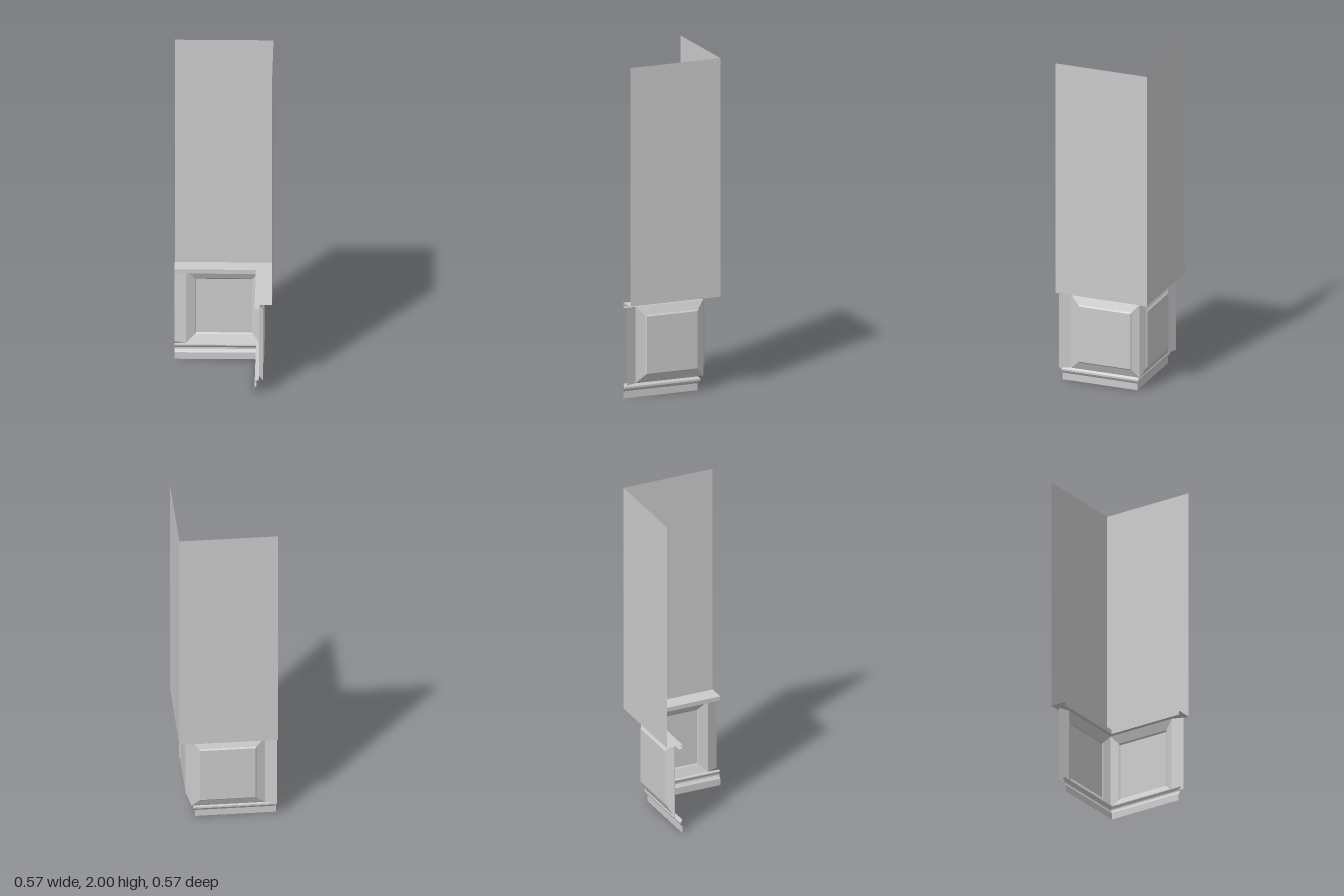
import * as THREE from 'three';

const END = 0.286;                 // outer extent of both wall runs
const TOP = 0.547, BOTTOM = 0.09;  // height range of the panelling
const RIDGE = 0.209;               // distance of the stile ridge from the centre

const material = new THREE.MeshStandardMaterial({
  color: 0xcccccc, flatShading: true, side: THREE.DoubleSide,
});

// Mesh from a list of four-cornered faces, corners anticlockwise from the front
function quadMesh(name, quads) {
  const positions = [];
  for (const [a, b, c, d] of quads) positions.push(...a, ...b, ...c, ...a, ...c, ...d);
  const geometry = new THREE.BufferGeometry();
  geometry.setAttribute('position', new THREE.Float32BufferAttribute(positions, 3));
  geometry.computeVertexNormals();
  const mesh = new THREE.Mesh(geometry, material);
  mesh.name = name;
  return mesh;
}

// Mirror faces of the back run onto the side run, keeping them front-facing
const toSide = (quads) =>
  quads.map((q) => q.map(([x, y, z]) => [-z, y, -x]).reverse());

// Sweep a [depth, height] profile along both runs with a mitred inner corner
function cornerSweep(name, profile) {
  const back = [];
  for (let i = 0; i < profile.length - 1; i++) {
    const [d0, y0] = profile[i], [d1, y1] = profile[i + 1];
    back.push([[-END, y0, -d0], [d0, y0, -d0], [d1, y1, -d1], [-END, y1, -d1]]);
  }
  return quadMesh(name, [...back, ...toSide(back)]);
}

// Rectangle of four corners, anticlockwise from the lower left
const ring = (x0, x1, y0, y1, d) =>
  [[x0, y0, -d], [x1, y0, -d], [x1, y1, -d], [x0, y1, -d]];

// Four faces joining one rectangle to the next
function bridge(outer, inner) {
  return outer.map((p, i) => {
    const j = (i + 1) % 4;
    return [p, outer[j], inner[j], inner[i]];
  });
}

export function createModel() {
  const group = new THREE.Group();
  group.name = 'panelledCorner';

  // Upper walls
  group.add(cornerSweep('upperWall', [[END, 0.573], [END, 2]]));

  // Shelf-like rail above the panels
  group.add(cornerSweep('topRail', [
    [RIDGE, TOP], [0.185, TOP], [0.185, 0.573], [END, 0.573],
  ]));

  // Moulded skirting
  group.add(cornerSweep('baseboard', [
    [0.184, 0], [0.184, 0.042], [0.19, 0.049], [0.197, 0.06], [0.197, 0.07],
    [0.191, 0.079], [0.187, 0.084], [0.187, BOTTOM], [RIDGE, BOTTOM],
  ]));

  // Recessed panel: wide bevel, small step, flat field
  const frame = ring(-0.22, RIDGE, BOTTOM, TOP, RIDGE);
  const step = ring(-0.168, 0.168, 0.138, 0.497, 0.231);
  const field = ring(-0.161, 0.161, 0.146, 0.489, 0.238);
  // Outer stile, sloping back from the ridge to the open end
  const stile = [
    [-END, BOTTOM, -0.234], [-0.22, BOTTOM, -RIDGE],
    [-0.22, TOP, -RIDGE], [-END, TOP, -0.234],
  ];
  const parts = {
    PanelBevel: bridge(frame, step),
    PanelStep: bridge(step, field),
    PanelField: [field],
    OuterStile: [stile],
  };
  for (const [part, quads] of Object.entries(parts)) {
    group.add(quadMesh('back' + part, quads));
    group.add(quadMesh('side' + part, toSide(quads)));
  }
  return group;
}
